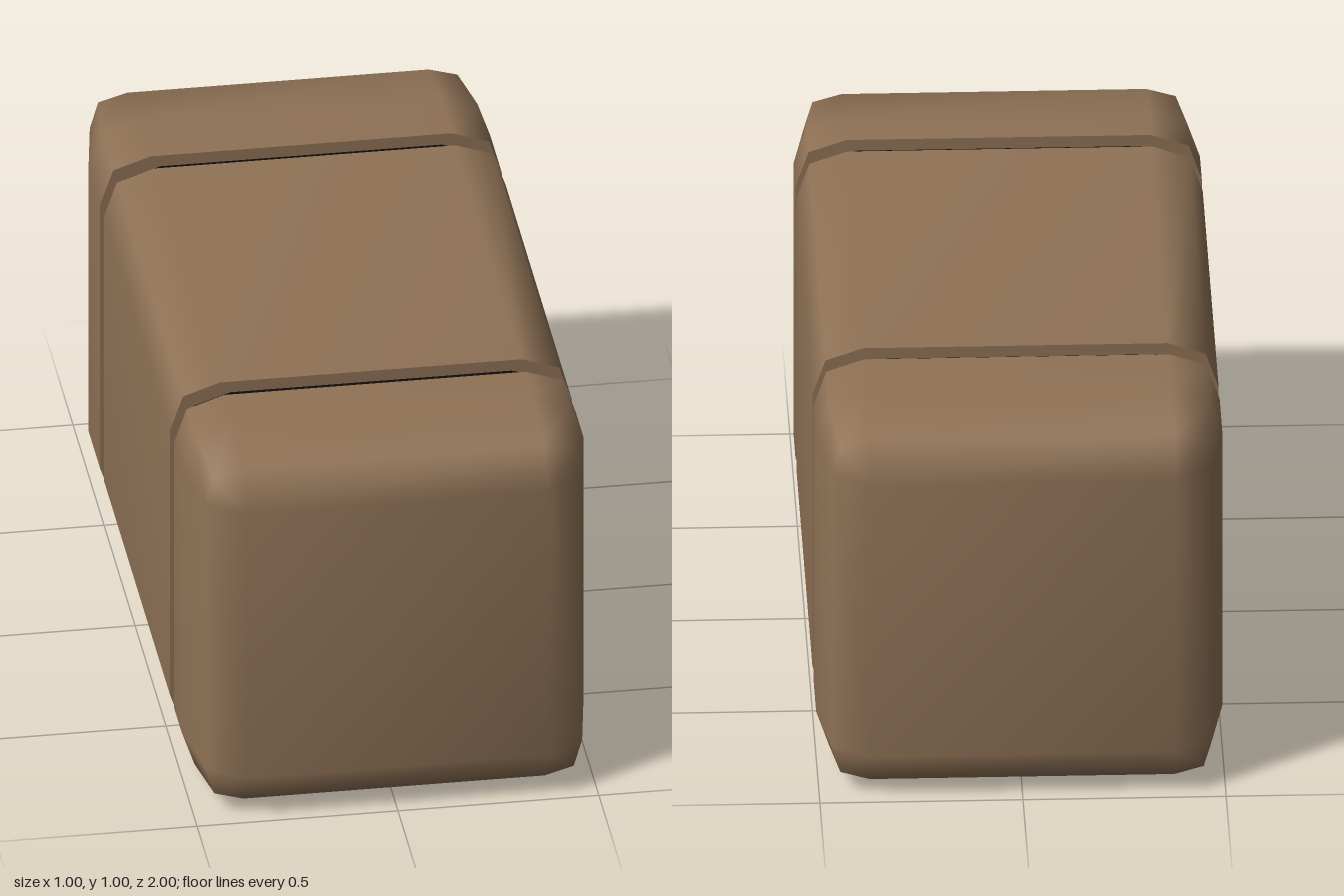
import * as THREE from 'three';
import { mergeVertices, mergeGeometries } from 'three/addons/utils/BufferGeometryUtils.js';

const brown = new THREE.MeshStandardMaterial({ color: 0x8f7256 });
brown.name = 'warm brown';
const black = new THREE.MeshStandardMaterial({ color: 0x0c0c0c });
black.name = 'groove black';

// Square cross-section at z with corners rounded in two steps
function ring(z, flat, mid, edge) {
  const corner = [[edge, flat], [mid, mid], [flat, edge]];
  const points = [];
  for (let q = 0; q < 4; q++) {
    for (const [x, y] of corner) {
      const turned = [[x, y], [-y, x], [-x, -y], [y, -x]][q];
      points.push(turned[0], turned[1], z);
    }
  }
  return points;
}
const full = z => ring(z, 0.375, 0.468, 0.5);
const shoulder = z => ring(z, 0.375, 0.447, 0.468);
const endFace = z => ring(z, 0.375, 0.375, 0.375);
const centre = z => ring(z, 0, 0, 0);
const inner = z => ring(z, 0.35, 0.44, 0.47);

// Smooth skin through rings ordered by rising z
function loft(rings) {
  const index = [], n = 12;
  for (let r = 0; r < rings.length - 1; r++) {
    for (let i = 0; i < n; i++) {
      const a = r * n + i, b = r * n + (i + 1) % n;
      index.push(a, b, b + n, a, b + n, a + n);
    }
  }
  const geometry = new THREE.BufferGeometry();
  geometry.setAttribute('position', new THREE.Float32BufferAttribute(rings.flat(), 3));
  geometry.setIndex(index);
  const merged = mergeVertices(geometry, 1e-4);
  // Drop the triangles collapsed by the merge
  const kept = [];
  const old = merged.index.array;
  for (let i = 0; i < old.length; i += 3) {
    const [a, b, c] = [old[i], old[i + 1], old[i + 2]];
    if (a !== b && b !== c && c !== a) kept.push(a, b, c);
  }
  merged.setIndex(kept);
  merged.computeVertexNormals();
  return merged;
}

export function createModel() {
  const model = new THREE.Group();
  model.name = 'bandedBlock';
  const add = (name, material, ...skins) => {
    const mesh = new THREE.Mesh(mergeGeometries(skins.map(loft)), material);
    mesh.name = name;
    mesh.position.y = 0.5;
    model.add(mesh);
  };

  // Rounded end blocks, each with a flat wall towards the groove
  add('frontBlock', brown,
    [full(0.625), full(0.75), shoulder(0.937), endFace(1), centre(1)],
    [centre(0.625), full(0.625)]);
  add('rearBlock', brown,
    [centre(-1), endFace(-1), shoulder(-0.937), full(-0.75), full(-0.563)],
    [full(-0.563), centre(-0.563)]);

  // Middle block between the two grooves
  add('middleBlock', brown,
    [full(-0.503), full(0.563)],
    [centre(-0.503), full(-0.503)],
    [full(0.563), centre(0.563)]);

  // Dark core showing in the grooves
  add('core', black, [inner(-0.6), inner(0.66)]);
  return model;
}
